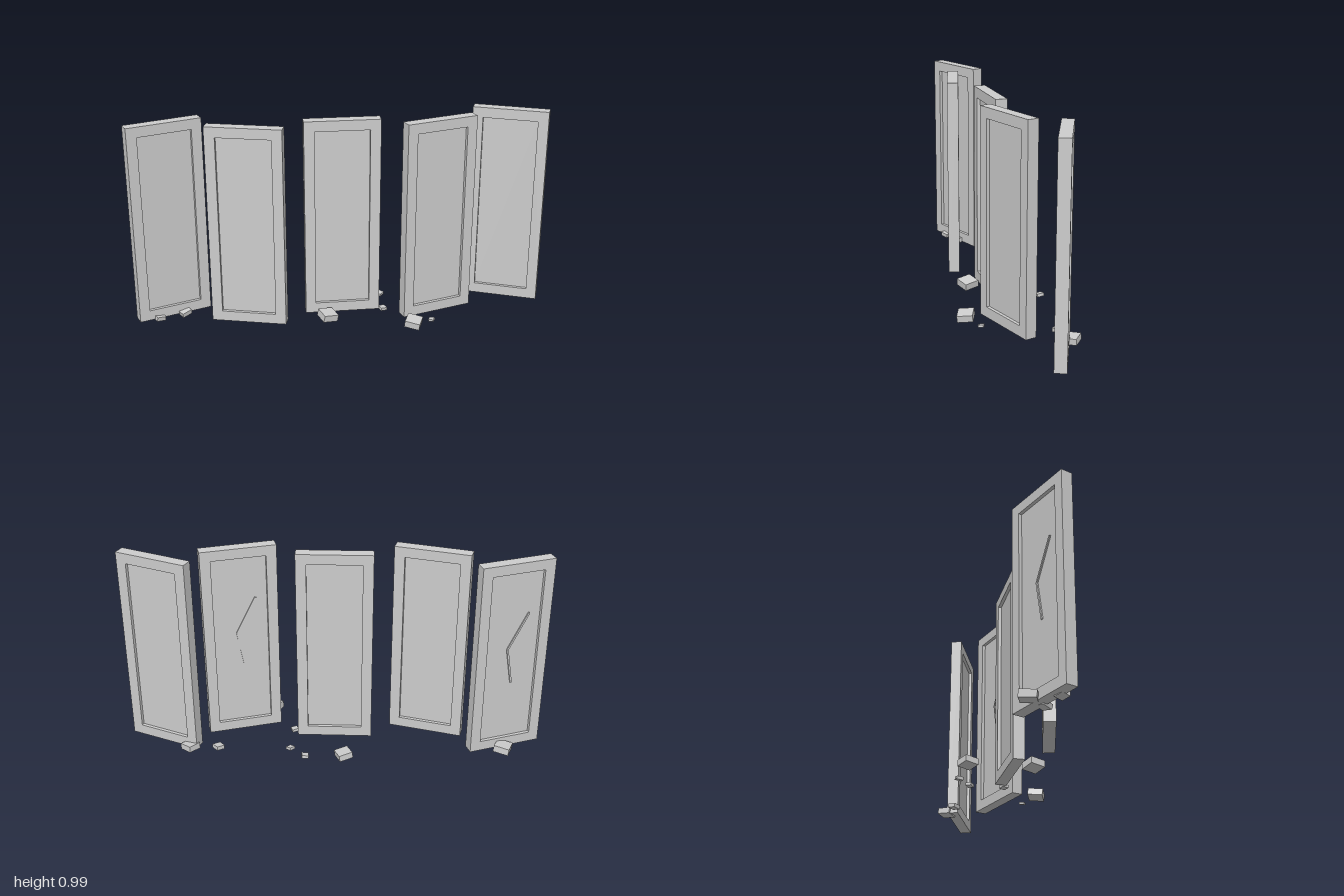
import * as THREE from 'three';

const W = 0.36, H = 0.975, T = 0.055, RIM = 0.05, DEPTH = 0.016, BASE = 0.015;

const stone = new THREE.MeshStandardMaterial({ color: 0xcccccc, flatShading: true });
stone.name = 'paleGrey';

function rect(target, w, h) {
  target.moveTo(-w / 2, -h / 2);
  target.lineTo(w / 2, -h / 2);
  target.lineTo(w / 2, h / 2);
  target.lineTo(-w / 2, h / 2);
  target.closePath();
  return target;
}

function add(parent, name, geometry) {
  const mesh = new THREE.Mesh(geometry, stone);
  mesh.name = name;
  parent.add(mesh);
  return mesh;
}

// Outer rim of a panel, open in the middle
function frameGeometry() {
  const shape = rect(new THREE.Shape(), W, H);
  shape.holes.push(rect(new THREE.Path(), W - 2 * RIM, H - 2 * RIM));
  const g = new THREE.ExtrudeGeometry(shape, { depth: T, bevelEnabled: false });
  return g.translate(0, 0, -T / 2);
}

// Bent crack on the back of a panel, given as points measured from its centre
function addCrack(panel) {
  const pts = [[-0.075, 0.225], [0.02, 0.045], [-0.012, -0.137]];
  const z = -(T / 2 - DEPTH) - 0.002;
  for (let i = 0; i < 2; i++) {
    const [ax, ay] = pts[i], [bx, by] = pts[i + 1];
    const bar = add(panel, 'crack', new THREE.BoxGeometry(0.009, Math.hypot(bx - ax, by - ay), 0.008));
    bar.position.set((ax + bx) / 2, (ay + by) / 2, z);
    bar.rotation.z = Math.atan2(ax - bx, ay - by) * -1;
  }
}

export function createModel() {
  const model = new THREE.Group();
  model.name = 'brokenScreen';

  // Standing panels: x, z, turn, cracked
  const frame = frameGeometry();
  const infill = new THREE.BoxGeometry(W - 2 * RIM, H - 2 * RIM, T - 2 * DEPTH);
  const panels = [
    [-0.82, -0.067, 0.36, true],
    [-0.453, 0.055, -0.26, false],
    [0, -0.007, 0, false],
    [0.452, 0.045, 0.3, true],
    [0.82, -0.08, -0.39, false],
  ];
  for (const [x, z, turn, cracked] of panels) {
    const panel = new THREE.Group();
    panel.name = 'panel';
    panel.position.set(x, BASE + H / 2, z);
    panel.rotation.y = turn;
    add(panel, 'panelFrame', frame);
    add(panel, 'panelInfill', infill);
    if (cracked) addCrack(panel);
    model.add(panel);
  }

  // Fallen fragments: x, z, size, turn, tilt
  const rubble = [
    [-0.82, -0.13, 0.075, -0.35, 0.1],
    [-0.89, -0.015, 0.045, 0.5, -0.15],
    [-0.77, -0.055, 0.05, 0.6, 0.2],
    [-0.05, -0.212, 0.068, 0.42, -0.12],
    [-0.08, 0.085, 0.075, 0.35, -0.15],
    [0.135, -0.215, 0.033, 0.12, 0.15],
    [0.21, -0.15, 0.03, -0.7, -0.15],
    [0.2, 0.013, 0.032, 0.4, -0.1],
    [0.32, 0.203, 0.073, -0.4, -0.15],
    [0.417, 0.158, 0.025, -0.5, 0.15],
    [0.56, -0.158, 0.042, 0.7, 0.12],
    [0.695, -0.17, 0.065, -0.7, -0.1],
  ];
  for (const [x, z, size, turn, tilt] of rubble) {
    const h = size * 0.45;
    const piece = add(model, 'fragment', new THREE.BoxGeometry(size, h, size));
    piece.position.set(x, h / 2 + size * 0.14 + 0.003, z);
    piece.rotation.set(Math.abs(tilt) * 0.7, turn, tilt, 'YXZ');
  }
  return model;
}
